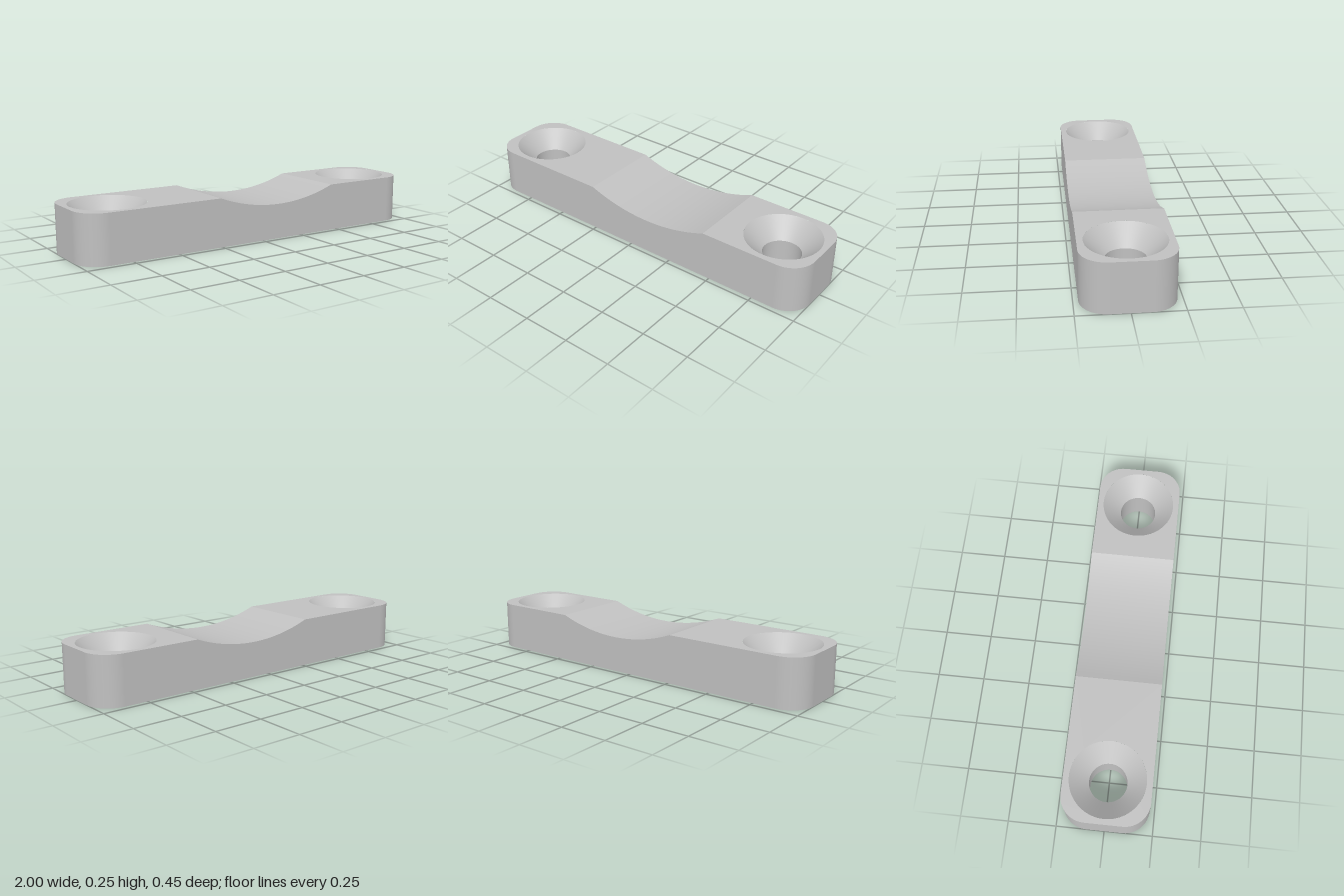
import * as THREE from 'three';

const W = 0.225, H = 0.254, R = 0.13;             // half width, height, corner radius
const HOLE_X = 0.777, HOLE_R = 0.098, SINK_R = 0.195;
const X0 = -0.26, X1 = 0.455, SAG = 0.068;        // shallow round saddle in the top
const STEPS = 32, SIDES = 64;

const mid = (X0 + X1) / 2, half = (X1 - X0) / 2;
const saddleR = (half * half + SAG * SAG) / (2 * SAG);
const topY = (x) => Math.abs(x - mid) >= half - 1e-6
  ? H : H - SAG + saddleR - Math.sqrt(saddleR ** 2 - (x - mid) ** 2);

// Quarter-round corner as plan points
function corner(sx, sy, start) {
  return Array.from({ length: 13 }, (_, i) => {
    const a = start + (i / 12) * Math.PI / 2;
    return new THREE.Vector2(sx * (1 - R) + R * Math.cos(a), sy * (W - R) + R * Math.sin(a));
  });
}

function plan(points, holes, r) {
  const shape = new THREE.Shape(points);
  for (const x of holes) shape.holes.push(new THREE.Path().absarc(x, 0, r, 0, Math.PI * 2, true));
  return new THREE.ShapeGeometry(shape, SIDES);
}

// Side wall that follows the outline and the height of the top
function wallGeometry(outline) {
  const pos = [], nor = [], idx = [], n = outline.length;
  outline.forEach((p, i) => {
    const core = p.clone().clamp(new THREE.Vector2(R - 1, R - W), new THREE.Vector2(1 - R, W - R));
    const d = p.clone().sub(core).normalize();
    pos.push(p.x, 0, -p.y, p.x, topY(p.x), -p.y);
    nor.push(d.x, 0, -d.y, d.x, 0, -d.y);
    const a = 2 * i, b = 2 * ((i + 1) % n);
    idx.push(a, b, b + 1, a, b + 1, a + 1);
  });
  const g = new THREE.BufferGeometry();
  g.setAttribute('position', new THREE.Float32BufferAttribute(pos, 3));
  g.setAttribute('normal', new THREE.Float32BufferAttribute(nor, 3));
  g.setIndex(idx);
  return g;
}

export function createModel() {
  const group = new THREE.Group();
  group.name = 'mountingBar';
  const grey = new THREE.MeshStandardMaterial({ color: 0xc0c0c0 });
  grey.name = 'grey';
  const add = (name, geometry, x = 0) => {
    const mesh = new THREE.Mesh(geometry, grey);
    mesh.name = name;
    mesh.position.x = x;
    group.add(mesh);
  };

  // Plan outline, counter-clockwise
  const v = (x, y) => new THREE.Vector2(x, y);
  const posEnd = [...corner(1, -1, -Math.PI / 2), ...corner(1, 1, 0)];
  const negEnd = [...corner(-1, 1, Math.PI / 2), ...corner(-1, -1, Math.PI)];
  const xs = Array.from({ length: STEPS + 1 }, (_, i) => X0 + (X1 - X0) * i / STEPS);
  const outline = [
    ...posEnd, ...xs.map((x) => v(x, W)).reverse(),
    ...negEnd, ...xs.map((x) => v(x, -W)),
  ];
  add('sideWall', wallGeometry(outline));

  // Underside and the two flat top ends
  add('underside', plan([...posEnd, ...negEnd], [HOLE_X, -HOLE_X], HOLE_R).rotateX(Math.PI / 2));
  add('leftTop', plan([...posEnd, v(X1, W), v(X1, -W)], [HOLE_X], SINK_R)
    .rotateX(-Math.PI / 2).translate(0, H, 0));
  add('rightTop', plan([...negEnd, v(X0, -W), v(X0, W)], [-HOLE_X], SINK_R)
    .rotateX(-Math.PI / 2).translate(0, H, 0));

  // Curved saddle
  const saddle = new THREE.PlaneGeometry(X1 - X0, 2 * W, STEPS, 1).rotateX(-Math.PI / 2).translate(mid, 0, 0);
  const p = saddle.attributes.position;
  for (let i = 0; i < p.count; i++) p.setY(i, topY(p.getX(i)));
  saddle.computeVertexNormals();
  add('saddle', saddle);

  // Countersunk screw holes, facing inward
  const neck = H - (SINK_R - HOLE_R);
  for (const [side, x] of [['left', HOLE_X], ['right', -HOLE_X]]) {
    add(side + 'Countersink', new THREE.LatheGeometry([v(SINK_R, H), v(HOLE_R, neck)], SIDES), x);
    add(side + 'Bore', new THREE.LatheGeometry([v(HOLE_R, neck), v(HOLE_R, 0)], SIDES), x);
  }
  return group;
}
